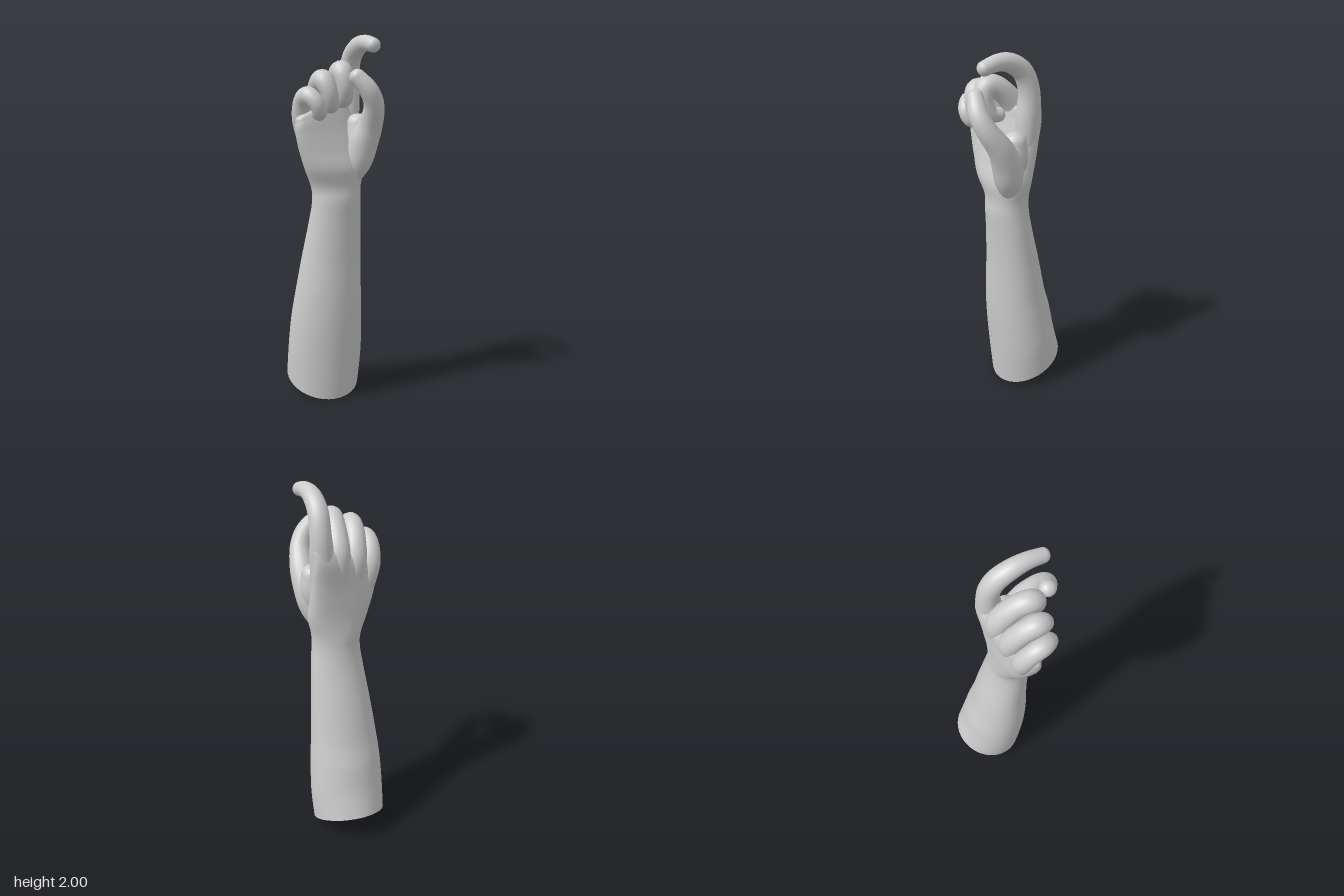
import * as THREE from 'three';

const material = new THREE.MeshStandardMaterial({ color: 0xcccccc, side: THREE.DoubleSide });
const V = (x, y, z) => new THREE.Vector3(x, y, z);

// Smooth interpolation through rows of numbers, t from 0 to 1
function sample(rows, t) {
  const last = rows.length - 1;
  const i = Math.min(Math.floor(t * last), last - 1);
  const u = t * last - i;
  const row = (k) => rows[Math.max(0, Math.min(last, k))];
  const [a, b, c, d] = [row(i - 1), row(i), row(i + 1), row(i + 2)];
  return b.map((_, k) => b[k] + 0.5 * u * (c[k] - a[k] +
    u * (2 * a[k] - 5 * b[k] + 4 * c[k] - d[k] + u * (3 * (b[k] - c[k]) + d[k] - a[k]))));
}

// Skin over a list of closed rings
function loft(name, rings) {
  const n = rings[0].length, index = [];
  for (let i = 0; i < rings.length - 1; i++) {
    for (let j = 0; j < n; j++) {
      const a = i * n + j, b = i * n + (j + 1) % n;
      index.push(a, a + n, b, b, a + n, b + n);
    }
  }
  const geometry = new THREE.BufferGeometry().setFromPoints(rings.flat());
  geometry.setIndex(index);
  geometry.computeVertexNormals();
  const mesh = new THREE.Mesh(geometry, material);
  mesh.name = name;
  return mesh;
}

// Tapered digit along rows of [x, y, z, radius] with a rounded tip
function digit(name, rows, steps = 40, sides = 20) {
  const rings = [];
  const addRing = (p, T, r) => {
    const S = V(1, 0, 0).addScaledVector(T, -T.x).normalize();
    const B = S.clone().cross(T);
    rings.push(Array.from({ length: sides }, (_, j) => {
      const a = (j / sides) * Math.PI * 2;
      return p.clone().addScaledVector(S, r * Math.cos(a)).addScaledVector(B, r * Math.sin(a));
    }));
  };
  const at = (t) => V(...sample(rows, Math.max(0, Math.min(1, t))));
  const tangent = (t) => at(t + 0.01).sub(at(t - 0.01)).normalize();
  for (let i = 0; i <= steps; i++) {
    const t = i / steps;
    addRing(at(t), tangent(t), sample(rows, t)[3]);
  }
  const T = tangent(1), r = rows[rows.length - 1][3];
  for (let i = 1; i <= 6; i++) {
    const a = (i / 6) * Math.PI / 2;
    addRing(at(1).addScaledVector(T, r * 0.85 * Math.sin(a)), T, r * Math.cos(a) + 1e-4);
  }
  return loft(name, rings);
}

// Cross-sections: y, centre x, half width, centre z, half depth,
// tilt by z, lift by x, skew of z by x, squareness
const armRows = [
  [0.085, -0.003, 0.205, -0.11, 0.195, 0.43, 0, 0, 1],
  [0.26, 0, 0.21, -0.078, 0.183, 0.3, 0, 0, 1],
  [0.44, 0, 0.202, -0.053, 0.176, 0.14, 0, 0, 1],
  [0.6, 0.003, 0.188, -0.03, 0.16, 0, 0, 0, 1],
  [0.8, 0.012, 0.168, -0.007, 0.138, 0, 0, 0, 1],
  [1.0, 0.022, 0.147, 0.022, 0.118, 0, 0, 0, 1],
  [1.12, 0.025, 0.135, 0.037, 0.112, 0, 0, 0, 1],
  [1.2, 0.022, 0.138, 0.037, 0.108, 0, 0, 0, 0.95],
  [1.3, 0.01, 0.17, 0.045, 0.112, 0, 0, 0.1, 0.9],
  [1.4, -0.008, 0.187, 0.035, 0.1, 0, 0, 0.2, 0.85],
  [1.5, -0.02, 0.195, 0.025, 0.085, 0, 0.12, 0.3, 0.82],
  [1.6, -0.025, 0.196, 0.015, 0.072, 0, 0.3, 0.38, 0.8],
  [1.66, -0.022, 0.175, 0.018, 0.05, 0, 0.4, 0.36, 0.85],
  [1.68, -0.02, 0.001, 0.02, 0.001, 0, 0.4, 0.3, 1],
];

function armRing(row, sides = 40) {
  const [y, cx, rx, cz, rz, tilt, lift, skew, power] = row;
  const round = (v) => Math.sign(v) * Math.abs(v) ** power;
  return Array.from({ length: sides }, (_, j) => {
    const a = (j / sides) * Math.PI * 2;
    const dx = rx * round(Math.cos(a));
    const dz = rz * round(Math.sin(a)) - skew * dx;
    return V(cx + dx, y - tilt * dz + lift * dx, cz + dz);
  });
}

export function createModel() {
  const group = new THREE.Group();
  group.name = 'forearmAndHand';

  // Forearm, wrist and palm in one skin
  const rings = [];
  for (let i = 0; i <= 104; i++) rings.push(armRing(sample(armRows, i / 104)));
  group.add(loft('forearmAndPalm', rings));

  // Slanted flat cut at the elbow end
  const [y, cx, , cz] = armRows[0];
  const centre = rings[0].map(() => V(cx, y, cz));
  group.add(loft('elbowCut', [centre, rings[0].map((p) => p.clone())]));

  // Raised index finger, hooked forward
  group.add(digit('indexFinger', [
    [0.11, 1.46, -0.015, 0.06], [0.118, 1.64, -0.03, 0.064], [0.125, 1.78, -0.033, 0.056],
    [0.125, 1.885, 0.003, 0.053], [0.13, 1.943, 0.08, 0.049],
    [0.14, 1.957, 0.16, 0.042], [0.15, 1.942, 0.24, 0.037],
  ]));

  // Curled fingers
  group.add(digit('middleFinger', [
    [0.025, 1.5, -0.01, 0.055], [0.025, 1.66, -0.018, 0.062], [0.02, 1.775, 0.06, 0.058],
    [0.012, 1.812, 0.14, 0.056], [0.022, 1.745, 0.168, 0.047],
    [0.032, 1.675, 0.14, 0.043], [0.035, 1.66, 0.09, 0.038],
  ]));
  group.add(digit('ringFinger', [
    [-0.06, 1.47, 0.02, 0.05], [-0.075, 1.61, 0.01, 0.06], [-0.09, 1.725, 0.065, 0.056],
    [-0.092, 1.768, 0.14, 0.055], [-0.07, 1.71, 0.175, 0.046],
    [-0.05, 1.642, 0.155, 0.042], [-0.042, 1.635, 0.1, 0.036],
  ]));
  group.add(digit('littleFinger', [
    [-0.145, 1.43, 0.045, 0.045], [-0.168, 1.56, 0.04, 0.055], [-0.18, 1.655, 0.08, 0.051],
    [-0.172, 1.688, 0.14, 0.048], [-0.14, 1.65, 0.18, 0.042],
    [-0.118, 1.6, 0.165, 0.038], [-0.11, 1.595, 0.11, 0.033],
  ]));

  // Thumb with its fleshy base, and the web towards the index finger
  group.add(digit('thumb', [
    [0.095, 1.24, 0.065, 0.05], [0.13, 1.34, 0.09, 0.076], [0.15, 1.44, 0.115, 0.08],
    [0.168, 1.535, 0.165, 0.066], [0.158, 1.635, 0.232, 0.054],
    [0.118, 1.715, 0.256, 0.05], [0.058, 1.785, 0.238, 0.042],
  ]));
  group.add(digit('thumbWeb', [
    [0.11, 1.36, 0.05, 0.06], [0.135, 1.45, 0.06, 0.072], [0.14, 1.54, 0.06, 0.062],
  ], 16));

  return group;
}
